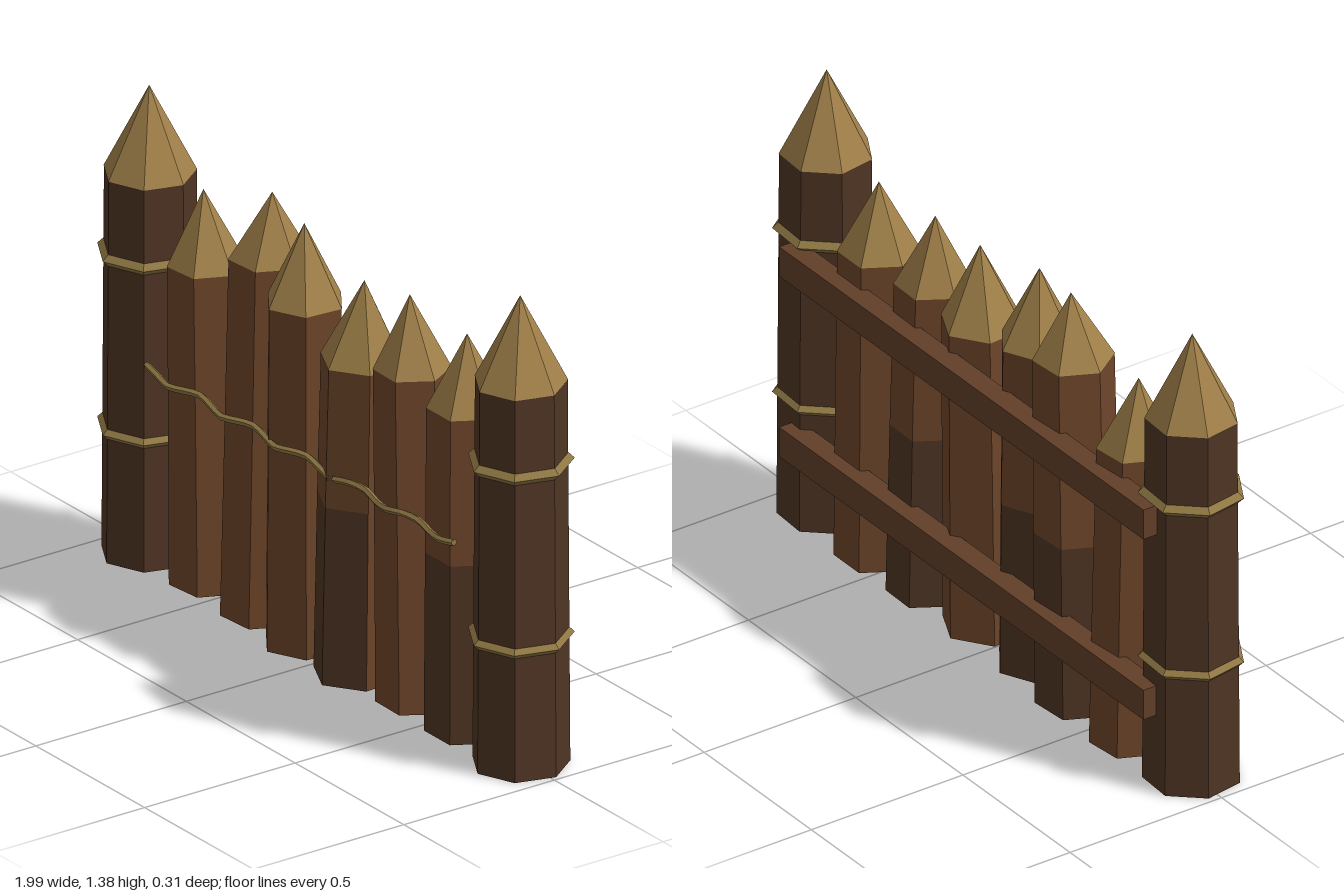
import * as THREE from 'three';

const mat = (name, color) => new THREE.MeshStandardMaterial({ name, color, flatShading: true });

export function createModel() {
  const postWood = mat('dark post wood', 0x4f3524);
  const stakeWood = mat('stake wood', 0x6d452a);
  const railWood = mat('rail wood', 0x623f29);
  const cutWood = mat('cut pale wood', 0xa08049);
  const rope = mat('rope', 0x8f7743);

  const model = new THREE.Group();
  model.name = 'palisadeFence';

  const add = (parent, name, geometry, material, x = 0, y = 0, z = 0) => {
    const mesh = new THREE.Mesh(geometry, material);
    mesh.name = name;
    mesh.position.set(x, y, z);
    parent.add(mesh);
    return mesh;
  };

  // Corner posts: seven-sided trunk, pointed top and two rope bindings
  for (const side of [-1, 1]) {
    const post = new THREE.Group();
    post.name = side < 0 ? 'rightPost' : 'leftPost';
    post.position.set(side * 0.853, 0, 0.007);
    post.rotation.y = -0.06;
    add(post, 'trunk', new THREE.CylinderGeometry(0.129, 0.136, 1.125, 7), postWood, 0, 0.5625);
    add(post, 'point', new THREE.ConeGeometry(0.13, 0.255, 7), cutWood, 0, 1.2525);
    for (const y of [0.38, 0.893]) {
      const ring = new THREE.TorusGeometry(0.131, 0.017, 4, 7);
      ring.rotateX(Math.PI / 2).rotateY(-Math.PI / 2);
      add(post, 'ropeBinding', ring, rope, 0, y);
    }
    model.add(post);
  }

  // Leaning hexagonal stakes; dark = direction of the weathered lower faces
  const stakes = [
    { x0: -0.602, x1: -0.623, tipX: -0.637, z: -0.017, h: 0.93, tip: 1.145, r: 0.116, turn: 0.62 },
    { x0: -0.352, x1: -0.327, tipX: -0.315, z: -0.013, h: 1.06, tip: 1.255, r: 0.121, turn: -0.45, dark: 3.3 },
    { x0: -0.128, x1: -0.130, tipX: -0.133, z: 0.012, h: 1.007, tip: 1.235, r: 0.121, turn: -0.08, dark: 3.5 },
    { x0: 0.118, x1: 0.137, tipX: 0.148, z: 0.015, h: 0.935, tip: 1.17, r: 0.127, turn: 0.08, dark: 0.1 },
    { x0: 0.357, x1: 0.333, tipX: 0.322, z: -0.01, h: 0.972, tip: 1.185, r: 0.114, turn: 0.5, dark: 3.2 },
    { x0: 0.59, x1: 0.587, tipX: 0.585, z: -0.01, h: 0.952, tip: 1.165, r: 0.12, turn: 0.52, dark: 0 },
  ];
  stakes.forEach((s, n) => {
    const stake = new THREE.Group();
    stake.name = 'stake' + (n + 1);
    stake.position.z = s.z;

    // Trunk in two bands, sheared sideways
    const rTop = s.r * 0.93;
    const trunk = new THREE.CylinderGeometry(rTop, s.r, s.h, 6, 2);
    trunk.rotateY(s.turn).translate(0, s.h / 2, 0);
    const p = trunk.attributes.position;
    for (let i = 0; i < p.count; i++) {
      p.setX(i, p.getX(i) + THREE.MathUtils.lerp(s.x0, s.x1, p.getY(i) / s.h));
      if (Math.abs(p.getY(i) - s.h / 2) < 0.01) p.setY(i, 0.525);
    }
    trunk.clearGroups();
    for (let f = 0; f < 6; f++) {
      const angle = s.turn + (f + 0.5) * Math.PI / 3;
      const weathered = s.dark !== undefined && Math.cos(angle - s.dark) > 0.45;
      trunk.addGroup(f * 12, 6, 0);
      trunk.addGroup(f * 12 + 6, 6, weathered ? 1 : 0);
    }
    trunk.addGroup(72, trunk.index.count - 72, 0);
    add(stake, 'trunk', trunk, [stakeWood, postWood]);

    // Sharpened point following the lean
    const ch = s.tip - s.h;
    const point = new THREE.ConeGeometry(rTop * 1.01, ch, 6);
    point.rotateY(s.turn).translate(0, ch / 2, 0);
    const q = point.attributes.position;
    for (let i = 0; i < q.count; i++) q.setX(i, q.getX(i) + (s.tipX - s.x1) * q.getY(i) / ch);
    add(stake, 'point', point, cutWood, s.x1, s.h, 0);
    model.add(stake);
  });

  // Back rails
  for (const [name, y] of [['lowerRail', 0.273], ['upperRail', 0.838]]) {
    add(model, name, new THREE.BoxGeometry(1.7, 0.092, 0.065), railWood, -0.005, y, -0.123);
  }

  // Wavy rope across the front, in two lengths
  for (const [a, b] of [[-0.72, 0.145], [0.165, 0.71]]) {
    const points = [];
    const steps = Math.round((b - a) / 0.06);
    for (let i = 0; i <= steps; i++) {
      const x = a + (b - a) * i / steps;
      points.push(new THREE.Vector3(x, 0.622 + 0.007 * Math.cos((x + 0.72) * 26), 0.12 - 0.009 * Math.cos((x + 0.72) * 25)));
    }
    const curve = new THREE.CatmullRomCurve3(points);
    const tube = add(model, 'frontRope', new THREE.TubeGeometry(curve, steps * 2, 0.01, 5), rope);
    // Closed rope ends
    for (const t of [0, 1]) {
      const cap = add(tube, 'ropeEnd', new THREE.CircleGeometry(0.01, 5), rope);
      cap.position.copy(curve.getPoint(t));
      cap.rotation.y = (t ? 1 : -1) * Math.PI / 2;
    }
  }

  return model;
}
